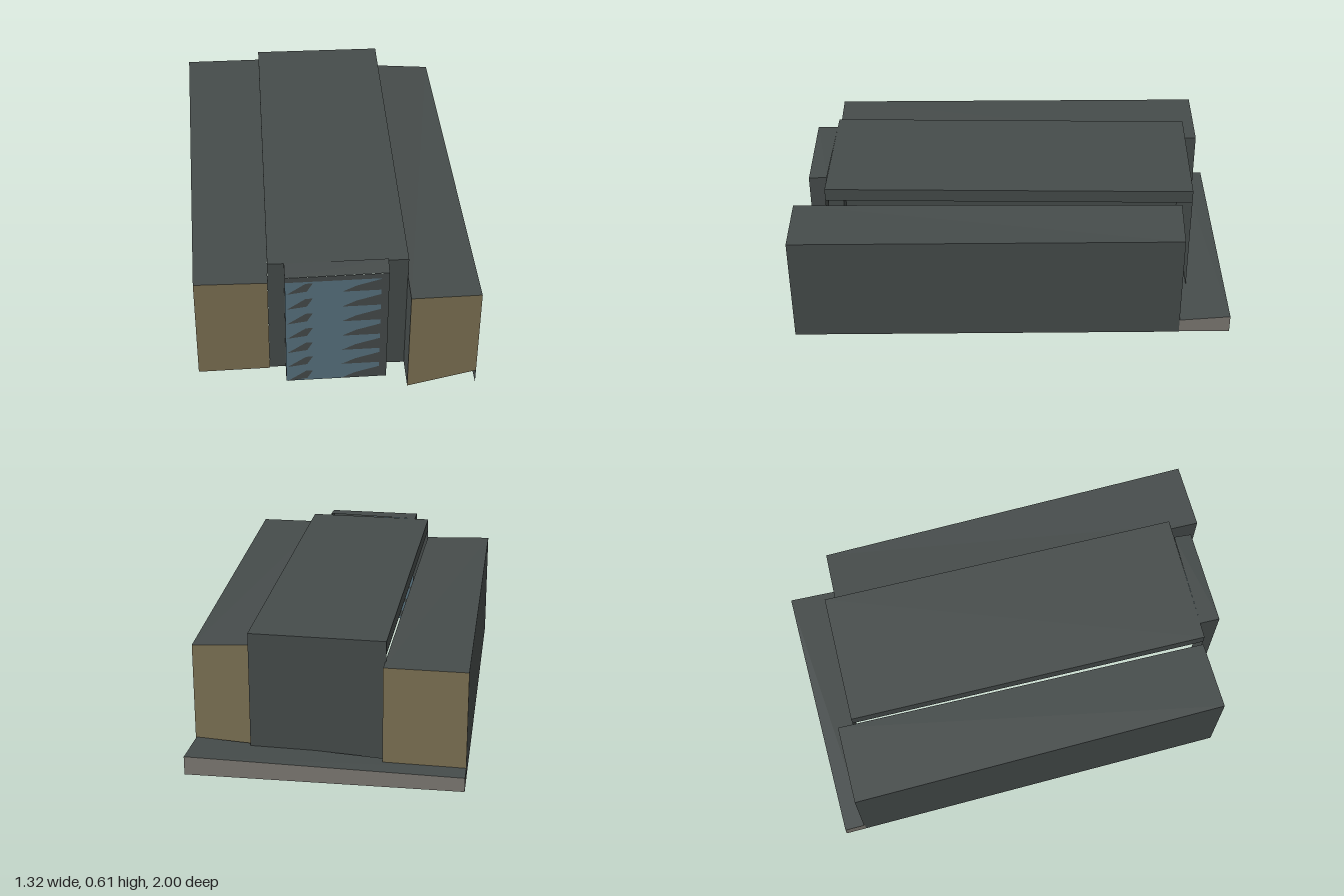
import * as THREE from 'three';

const paint = (name, color) => {
  const m = new THREE.MeshStandardMaterial({ color, side: THREE.DoubleSide, flatShading: true });
  m.name = name;
  return m;
};

export function createModel() {
  const slate = paint('slate', 0x464c4b);
  const ochre = paint('ochre', 0x7d7254);
  const blue = paint('blue', 0x597380);
  const stone = paint('stone', 0x7d7a73);

  const model = new THREE.Group();

  // Flat face from corners listed counter-clockwise as seen from outside
  function face(parent, name, material, pts) {
    const g = new THREE.BufferGeometry();
    const tris = [];
    for (let i = 1; i < pts.length - 1; i++) tris.push(...pts[0], ...pts[i], ...pts[i + 1]);
    g.setAttribute('position', new THREE.Float32BufferAttribute(tris, 3));
    g.computeVertexNormals();
    const m = new THREE.Mesh(g, material);
    m.name = name;
    parent.add(m);
  }

  // Open-bottomed block; plan corners run front left, front right, back right, back left on screen.
  // mats = front, side, back, side wall materials (null leaves the wall open)
  function block(name, plan, bottoms, tops, mats, roofMat) {
    const group = new THREE.Group();
    group.name = name;
    const lo = plan.map(([x, z], i) => [x, bottoms[i], z]);
    const hi = plan.map(([x, z], i) => [x, tops[i], z]);
    const names = ['frontWall', 'leftWall', 'backWall', 'rightWall'];
    mats.forEach((mat, i) => {
      const j = (i + 1) % 4;
      if (mat) face(group, names[i], mat, [lo[i], lo[j], hi[j], hi[i]]);
    });
    face(group, 'roof', roofMat, hi);
    model.add(group);
    return group;
  }

  const ground = [0, 0, 0, 0];

  // Long side wings with ochre end walls
  block('rightWing', [[-0.56, 0.89], [-0.245, 0.872], [-0.295, -0.86], [-0.655, -0.845]],
    ground, [0.51, 0.5, 0.51, 0.51], [ochre, slate, ochre, slate], slate);
  const wing = block('leftWing', [[0.357, 0.997], [0.657, 0.98], [0.56, -0.77], [0.3, -0.765]],
    ground, [0.51, 0.51, 0.51, 0.527], [null, slate, ochre, slate], slate);
  // Front end wall stops on a sloping line above the ground
  face(wing, 'frontWall', ochre,
    [[0.357, 0, 0.997], [0.657, 0.07, 0.98], [0.657, 0.51, 0.98], [0.357, 0.51, 0.997]]);

  // Raised roof over the middle, with end walls down to the ground
  const hall = block('hallRoof', [[-0.245, 0.865], [0.355, 0.848], [0.3, -0.81], [-0.297, -0.79]],
    [0.54, 0.54, 0.54, 0.54], [0.6, 0.6, 0.6, 0.6], [slate, slate, slate, slate], slate);
  face(hall, 'hallBackWall', slate,
    [[0.3, 0, -0.81], [-0.297, 0, -0.79], [-0.297, 0.6, -0.79], [0.3, 0.6, -0.81]]);
  const hallZ = (x) => 0.865 - (x + 0.245) * 0.028;
  for (const [a, b] of [[-0.245, -0.17], [0.27, 0.355]]) {
    face(hall, 'hallFrontWall', slate,
      [[a, 0, hallZ(a)], [b, 0, hallZ(b)], [b, 0.6, hallZ(b)], [a, 0.6, hallZ(a)]]);
  }

  // Entrance bay, open to the hall behind
  const bay = block('entranceBay', [[-0.172, 0.955], [0.268, 0.932], [0.268, 0.85], [-0.175, 0.863]],
    ground, [0.598, 0.6, 0.608, 0.6], [null, slate, null, slate], slate);
  const bayZ = (x) => 0.955 - (x + 0.172) * 0.0523;
  const bayPanel = (name, mat, pts, dz = 0) =>
    face(bay, name, mat, pts.map(([x, y]) => [x, y, bayZ(x) + dz]));
  bayPanel('glazing', blue, [[-0.172, 0], [0.235, 0], [0.235, 0.572], [-0.172, 0.572]]);
  bayPanel('sideFrame', slate, [[0.235, 0], [0.268, 0], [0.268, 0.6], [0.235, 0.599]]);
  bayPanel('topFrame', slate, [[-0.172, 0.572], [0.235, 0.572], [0.235, 0.599], [-0.172, 0.598]]);
  // Seven rows of slanted dark fins, on both faces of the glazing
  for (let i = 0; i < 7; i++) {
    const y = i * 0.0845;
    for (const dz of [0.003, -0.003]) {
      bayPanel('innerFin', slate,
        [[-0.165, y + 0.002], [-0.08, y + 0.014], [-0.055, y + 0.058], [-0.085, y + 0.058]], dz);
      bayPanel('outerFin', slate,
        [[0.07, y + 0.004], [0.235, y + 0.004], [0.235, y + 0.064], [0.13, y + 0.034]], dz);
    }
  }

  // Low terrace along the back
  block('terrace', [[-0.655, -0.84], [0.557, -0.768], [0.547, -1.0], [-0.66, -0.935]],
    ground, [0.065, 0.065, 0.085, 0.065], [stone, stone, stone, stone], slate);

  return model;
}
